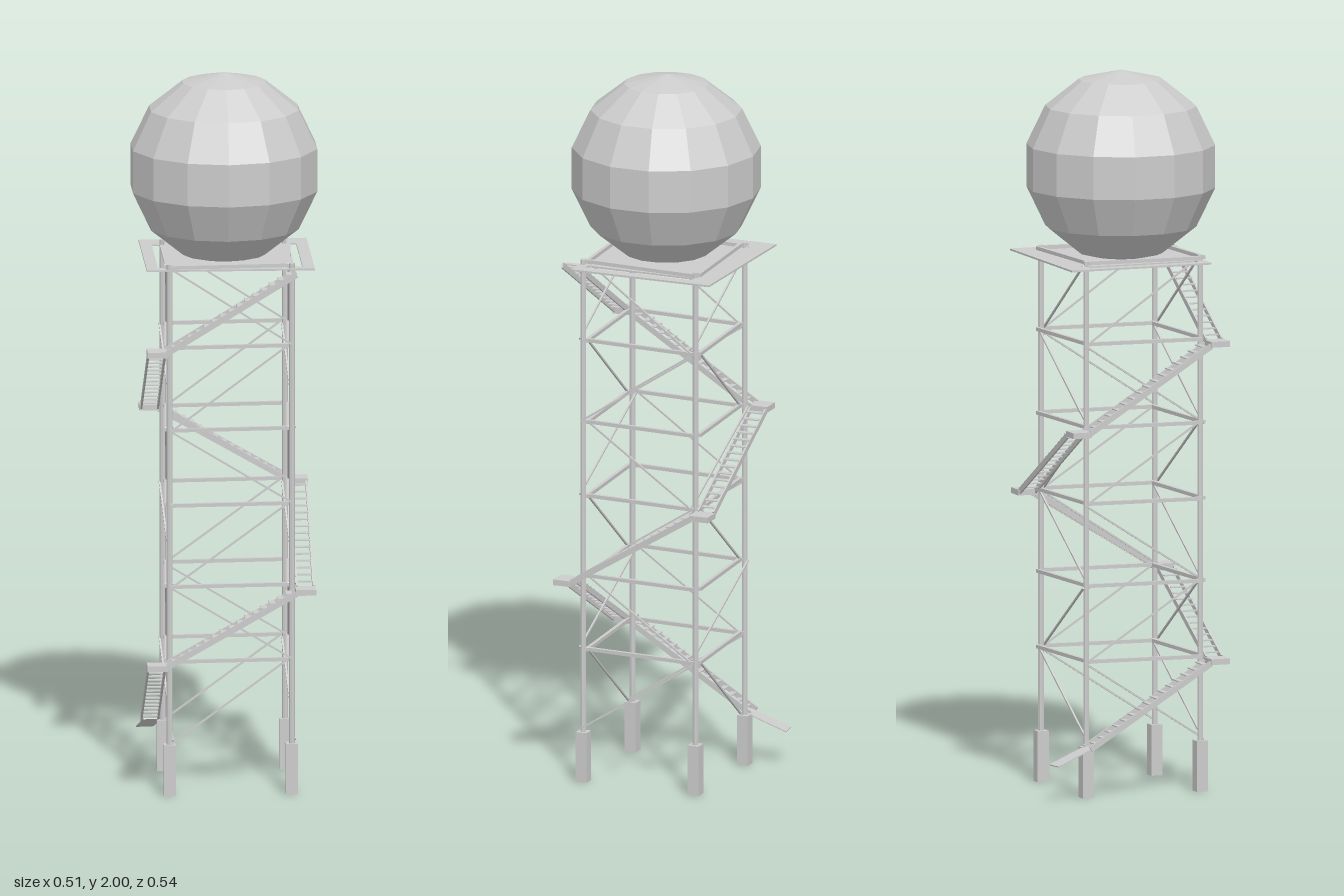
import * as THREE from 'three';

const grey = new THREE.MeshStandardMaterial({ color: 0xcccccc, flatShading: true });
const HALF = 0.169;                                        // leg offset from the tower axis
const LEVELS = [0.148, 0.377, 0.588, 0.817, 1.029, 1.262, 1.488];

function add(parent, name, geometry, x = 0, y = 0, z = 0) {
  const mesh = new THREE.Mesh(geometry, grey);
  mesh.name = name;
  mesh.position.set(x, y, z);
  parent.add(mesh);
  return mesh;
}

// Straight square bar between two points
function bar(parent, name, a, b, width, depth = width) {
  const from = new THREE.Vector3(...a), to = new THREE.Vector3(...b);
  const mesh = add(parent, name, new THREE.BoxGeometry(width, depth, from.distanceTo(to)));
  mesh.position.copy(from).add(to).multiplyScalar(0.5);
  mesh.lookAt(to);
  return mesh;
}

// Stair flight rising along +x on the front face
function stairFlight(y0, y1) {
  const flight = new THREE.Group();
  flight.name = 'stairFlight';
  for (const z of [0.182, 0.228]) {
    bar(flight, 'stringer', [-HALF - 0.01, y0 - 0.006, z], [HALF + 0.01, y1 - 0.006, z], 0.005, 0.016);
  }
  const count = 15;
  for (let i = 0; i < count; i++) {
    const t = (i + 0.5) / count;
    add(flight, 'tread', new THREE.BoxGeometry(0.017, 0.003, 0.046),
      (2 * t - 1) * HALF, y0 + (y1 - y0) * t, 0.205);
  }
  return flight;
}

export function createModel() {
  const model = new THREE.Group();
  model.name = 'radarTower';
  const tower = new THREE.Group();
  tower.name = 'tower';
  tower.position.set(0.009, 0, 0.01);
  model.add(tower);

  // Legs on block footings
  for (const x of [-HALF, HALF]) {
    for (const z of [-HALF, HALF]) {
      add(tower, 'footing', new THREE.BoxGeometry(0.033, 0.142, 0.033), x, 0.071, z);
      add(tower, 'leg', new THREE.CylinderGeometry(0.0085, 0.0085, 1.355, 8), x, 0.8175, z);
    }
  }

  // Horizontal beams and alternating diagonal braces on all four faces
  for (const side of [-HALF, HALF]) {
    LEVELS.forEach((y, i) => {
      if (i > 0) {
        bar(tower, 'beam', [-HALF, y, side], [HALF, y, side], 0.01);
        bar(tower, 'beam', [side, y, -HALF], [side, y, HALF], 0.01);
      }
      if (i === LEVELS.length - 1) return;
      const s = i % 2 ? -HALF : HALF;
      const top = LEVELS[i + 1];
      bar(tower, 'brace', [-s, y, side], [s, top, side], 0.005);
      bar(tower, 'brace', [side, y, s], [side, top, -s], 0.005);
    });
  }

  // Stairs winding round the tower, with a landing at each corner
  for (let i = 0; i < 6; i++) {
    const flight = stairFlight(LEVELS[i], LEVELS[i + 1] - 0.008);
    flight.rotation.y = (i - 1) * Math.PI / 2;
    if (i < 5) {
      add(flight, 'landing', new THREE.BoxGeometry(0.056, 0.016, 0.056), 0.205, LEVELS[i + 1] - 0.01, 0.205);
    }
    tower.add(flight);
  }

  // Sloping plate at the foot of the stairs
  bar(tower, 'entryRamp', [-0.205, 0.148, -0.17], [-0.205, 0.096, -0.281], 0.05, 0.003);

  // Deck with a narrow opening along each side, cut back at the front for the top flight
  const deck = new THREE.Shape();
  deck.moveTo(-0.232, -0.178).lineTo(0.232, -0.178).lineTo(0.232, 0.237).lineTo(-0.232, 0.237).closePath();
  for (const s of [-1, 1]) {
    const slot = new THREE.Path();
    slot.moveTo(s * 0.178, -0.15).lineTo(s * 0.2, -0.15).lineTo(s * 0.2, 0.17).lineTo(s * 0.178, 0.17).closePath();
    deck.holes.push(slot);
  }
  const deckGeometry = new THREE.ExtrudeGeometry(deck, { depth: 0.005, bevelEnabled: false });
  deckGeometry.rotateX(-Math.PI / 2);
  add(tower, 'deck', deckGeometry, 0, 1.476, 0);

  // Faceted dome
  const dome = add(model, 'dome', new THREE.SphereGeometry(0.268, 14, 7), 0, 1.732, 0.007);
  dome.rotation.y = Math.PI / 14;

  return model;
}
